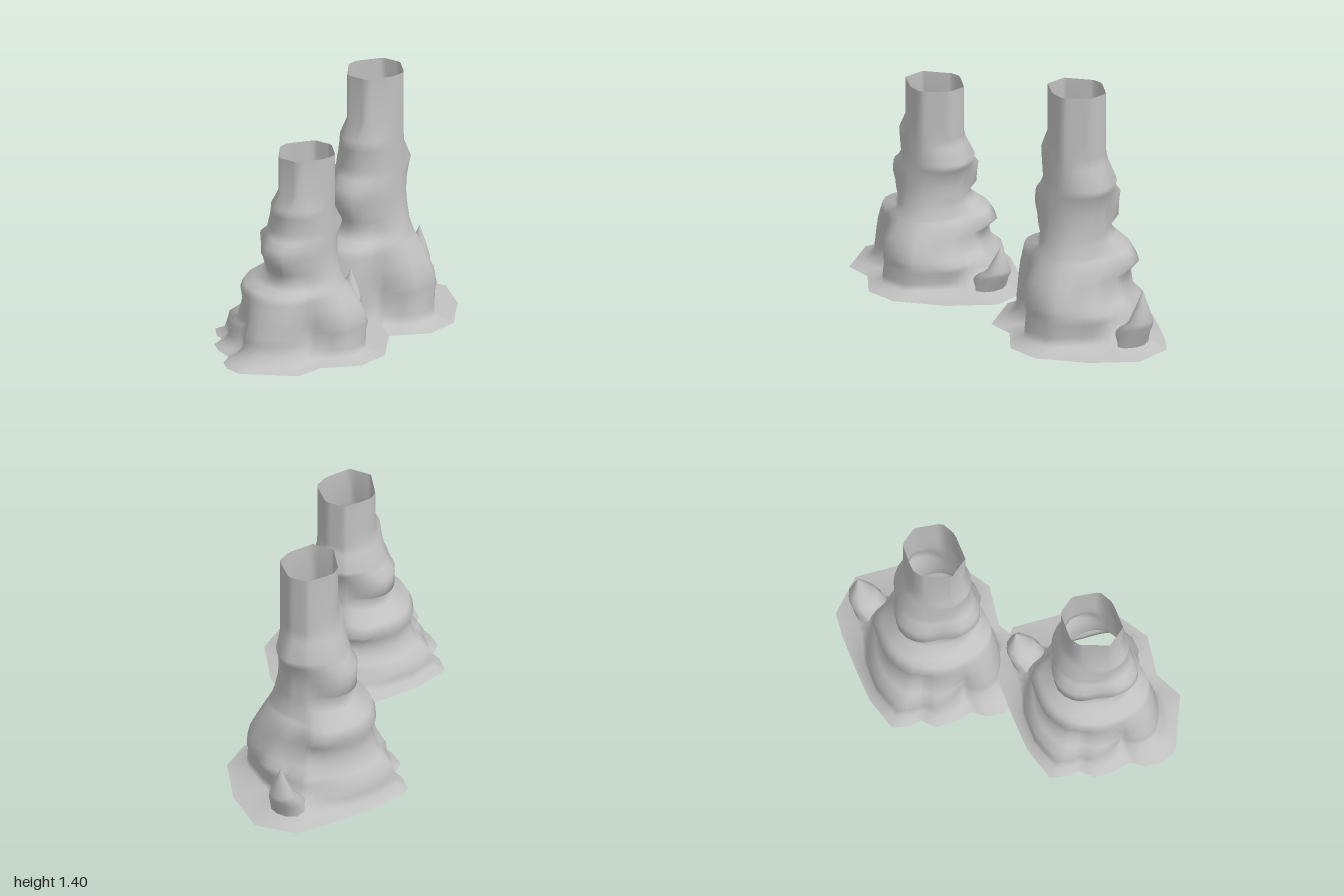
import * as THREE from 'three';

// Footprint of the skirt around the chimney axis, [x, z], running back > right > front > left
const FOOT = [
  [0.04, -0.555], [-0.19, -0.515], [-0.27, -0.415], [-0.38, -0.245], [-0.48, -0.075], [-0.535, 0.115],
  [-0.46, 0.195], [-0.41, 0.215], [-0.39, 0.305], [-0.31, 0.365], [-0.21, 0.405], [-0.18, 0.485],
  [-0.11, 0.545], [-0.01, 0.565], [0.1, 0.495], [0.26, 0.395], [0.28, 0.225], [0.425, 0.055],
  [0.425, -0.145], [0.34, -0.265], [0.26, -0.385], [0.15, -0.47],
];
// One column on every footprint corner and one halfway along every edge
const COLUMNS = FOOT.flatMap(([x, z], i) => {
  const [nx, nz] = FOOT[(i + 1) % FOOT.length];
  return [[x, z], [(x + nx) / 2, (z + nz) / 2]];
});
// Faceted bore of the pipe, [x, z]
const BORE = [[-0.07, -0.16], [0.04, -0.165], [0.152, -0.06], [0.145, 0.03],
  [0.065, 0.16], [-0.06, 0.165], [-0.157, 0.03], [-0.157, -0.03]];
// Radius against height on the four sides, [y, r]
const LEFT = [[0, 0.425], [0.03, 0.33], [0.09, 0.325], [0.16, 0.31], [0.25, 0.315], [0.33, 0.295],
  [0.51, 0.205], [0.66, 0.17], [0.81, 0.16], [1.05, 0.15], [1.4, 0.15]];
const RIGHT = [[0, 0.535], [0.03, 0.48], [0.15, 0.455], [0.23, 0.37], [0.28, 0.355], [0.36, 0.335],
  [0.42, 0.365], [0.47, 0.335], [0.58, 0.215], [0.61, 0.2], [0.64, 0.265], [0.79, 0.27],
  [0.82, 0.225], [0.88, 0.215], [1.04, 0.16], [1.4, 0.155]];
const FRONT = [[0, 0.565], [0.02, 0.515], [0.06, 0.485], [0.08, 0.435], [0.13, 0.435], [0.33, 0.385],
  [0.47, 0.335], [0.48, 0.255], [0.55, 0.225], [0.59, 0.245], [0.66, 0.265], [0.71, 0.285],
  [0.77, 0.285], [0.84, 0.225], [0.88, 0.205], [0.99, 0.21], [1.05, 0.215], [1.14, 0.165], [1.4, 0.165]];
const BACK = [[0, 0.555], [0.03, 0.31], [0.1, 0.285], [0.2, 0.29], [0.22, 0.245], [0.29, 0.245],
  [0.31, 0.215], [0.42, 0.235], [0.45, 0.195], [0.55, 0.165], [0.75, 0.165], [0.88, 0.22],
  [1.0, 0.155], [1.4, 0.165]];
const HEIGHTS = [0, 0.03, 0.08, 0.15, 0.2, 0.23, 0.29, 0.35, 0.42, 0.47, 0.49, 0.55, 0.6,
  0.645, 0.71, 0.78, 0.83, 0.88, 0.99, 1.05, 1.14, 1.4];
// Lumps and hollows: angle (0 = left, 90 = front), height, size, angular and vertical spread
const LUMPS = [
  [-130, 0.43, 0.05, 16, 0.06], [-112, 0.18, 0.03, 14, 0.08], [-68, 0.2, 0.04, 16, 0.12],
  [-31, 0.23, 0.04, 18, 0.15], [48, 0.2, -0.1, 16, 0.26], [117, 0.15, -0.03, 8, 0.12],
  [135, 0.72, -0.045, 22, 0.12], [55, 0.72, -0.03, 20, 0.12], [-135, 0.68, -0.03, 25, 0.1],
  [-102, 0.02, 0.14, 20, 0.06], [-140, 0.03, 0.04, 18, 0.12],
];

function sample(profile, y) {
  for (let i = 1; i < profile.length; i++) {
    const [y0, r0] = profile[i - 1], [y1, r1] = profile[i];
    if (y <= y1) return r0 + (r1 - r0) * (y - y0) / (y1 - y0);
  }
  return profile[profile.length - 1][1];
}

// Blend of the side profiles at one angle
function sideRadius(c, s, y) {
  return c * c * sample(c > 0 ? LEFT : RIGHT, y) + s * s * sample(s > 0 ? FRONT : BACK, y);
}

// Distance from the axis to a polygon along a direction
function polygonRadius(poly, c, s) {
  for (let i = 0; i < poly.length; i++) {
    const [ax, az] = poly[i], [bx, bz] = poly[(i + 1) % poly.length];
    const ex = bx - ax, ez = bz - az, d = c * ez - s * ex;
    const r = (ax * ez - az * ex) / d, t = (ax * s - az * c) / d;
    if (r > 0 && t >= -1e-6 && t <= 1 + 1e-6) return r;
  }
  return 0.16;
}

// Skin over closed rings of [x, y, z] points, open at both ends
function skin(rings) {
  const n = rings[0].length, index = [];
  for (let j = 0; j < rings.length - 1; j++) {
    for (let i = 0; i < n; i++) {
      const a = j * n + i, b = j * n + (i + 1) % n;
      index.push(a, b, b + n, a, b + n, a + n);
    }
  }
  const geometry = new THREE.BufferGeometry();
  geometry.setAttribute('position', new THREE.Float32BufferAttribute(rings.flat(2), 3));
  geometry.setIndex(index);
  geometry.computeVertexNormals();
  return geometry;
}

function chimneyGeometry() {
  return skin(HEIGHTS.map((y) => COLUMNS.map(([fx, fz]) => {
    const foot = Math.hypot(fx, fz), c = fx / foot, s = fz / foot;
    const bore = polygonRadius(BORE, c, s);
    if (y === 0) return [fx, 0, fz];
    if (y >= 1.14) return [c * bore, y, s * bore];
    // the footprint's folds fade out up the mound
    const fold = foot / sideRadius(c, s, 0) - 1;
    let r = sideRadius(c, s, y) * (1 + fold * Math.max(0, 1 - y / 0.5));
    const angle = THREE.MathUtils.radToDeg(Math.atan2(s, c));
    for (const [la, ly, size, wa, wy] of LUMPS) {
      const da = ((angle - la + 540) % 360 - 180) / wa, dy = (y - ly) / wy;
      r += size * Math.exp(-da * da - dy * dy);
    }
    r = Math.min(foot, Math.max(r, bore));
    return [c * r, y, s * r];
  })));
}

// Leaning spike rising from the ridge behind the mound: height, near z, far z, half width
function spikeGeometry() {
  const levels = [[0.03, -0.3, -0.445, 0.1], [0.1, -0.29, -0.475, 0.095], [0.145, -0.355, -0.495, 0.085],
    [0.18, -0.385, -0.505, 0.07], [0.26, -0.425, -0.485, 0.04], [0.345, -0.458, -0.462, 0.003]];
  return skin(levels.map(([y, near, far, w]) => Array.from({ length: 10 }, (_, i) => {
    const a = -i / 10 * Math.PI * 2;
    return [-0.065 + w * Math.cos(a), y, (near + far) / 2 + (near - far) / 2 * Math.sin(a)];
  })));
}

export function createModel() {
  const rock = new THREE.MeshStandardMaterial({ color: 0xc0c0c0, side: THREE.DoubleSide });
  rock.name = 'pale grey rock';
  const body = chimneyGeometry(), spike = spikeGeometry();

  function chimney(name, x, y, z, height) {
    const group = new THREE.Group();
    group.name = name;
    for (const [part, geometry] of [['chimneyBody', body], ['spike', spike]]) {
      const mesh = new THREE.Mesh(geometry, rock);
      mesh.name = part;
      group.add(mesh);
    }
    group.position.set(x, y, z);
    group.scale.y = height;
    return group;
  }

  const model = new THREE.Group();
  model.name = 'rockChimneys';
  model.add(chimney('tallChimney', -0.065, 0, -0.445, 1));
  model.add(chimney('shortChimney', 0.17, 0.135, 0.435, 0.793));
  return model;
}
